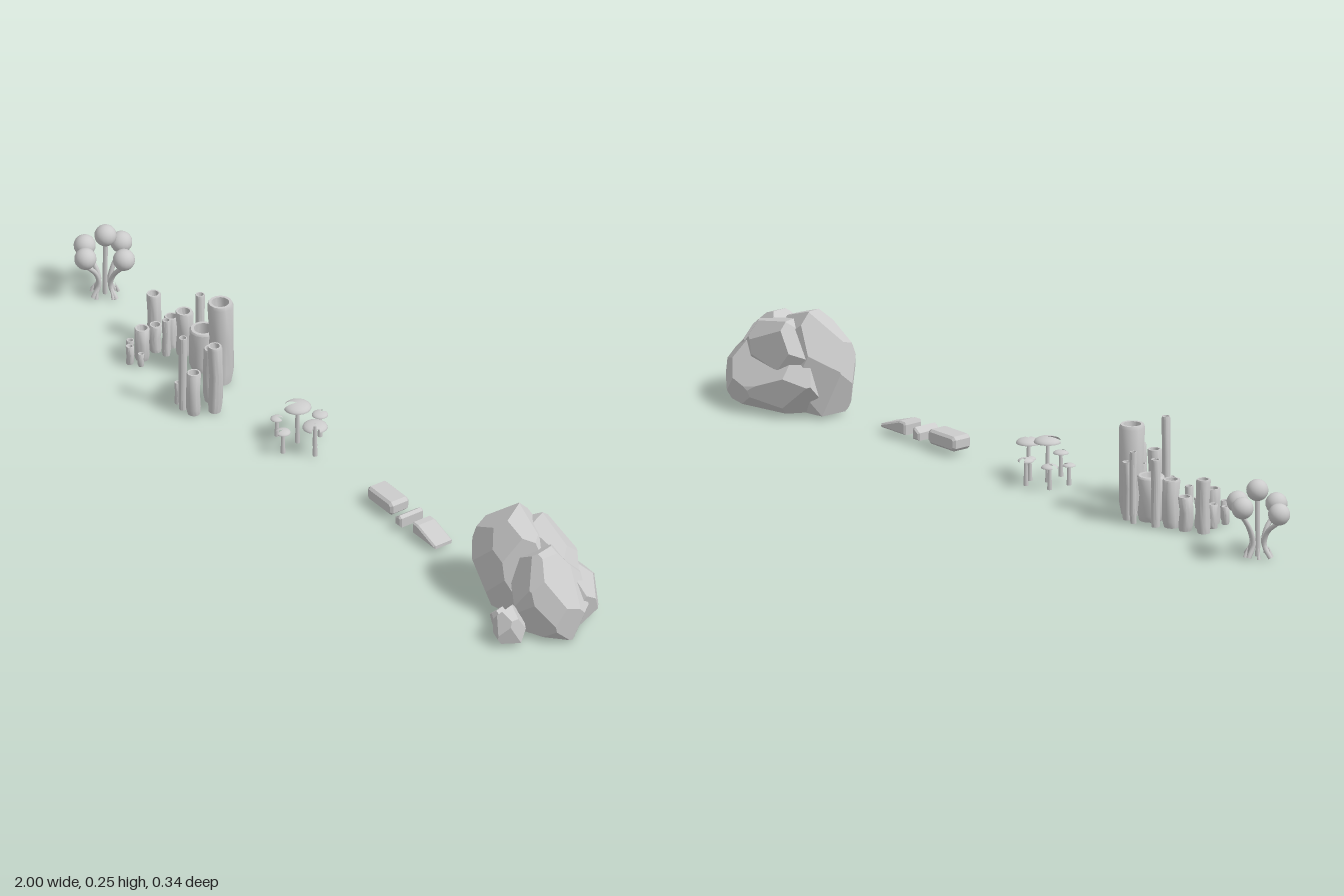
import * as THREE from 'three';
import { ConvexGeometry } from 'three/addons/geometries/ConvexGeometry.js';
import { toCreasedNormals } from 'three/addons/utils/BufferGeometryUtils.js';

const smooth = new THREE.MeshStandardMaterial({ color: 0xcccccc });
const thin = new THREE.MeshStandardMaterial({ color: 0xcccccc, side: THREE.DoubleSide });
const flat = new THREE.MeshStandardMaterial({ color: 0xcccccc, flatShading: true });
const V = (x, y, z) => new THREE.Vector3(x, y, z);

function add(parent, name, geometry, material = smooth) {
  const mesh = new THREE.Mesh(geometry, material);
  mesh.name = name;
  parent.add(mesh);
  return mesh;
}

function group(parent, name) {
  const g = new THREE.Group();
  g.name = name;
  parent.add(g);
  return g;
}

function seeded(seed) {
  return () => {
    seed = (seed * 16807) % 2147483647;
    return seed / 2147483647;
  };
}

// Boulder with polygonal facets: a sphere cut by scattered tangent planes,
// then fitted to the box min..max. Extra planes [x, y, z, distance] chop corners.
function boulder(min, max, facets, seed, extra = []) {
  const rnd = seeded(seed), poles = [];
  for (let i = 0; i < facets; i++) {
    const y = 1 - (2 * i + 1) / facets, a = i * 2.39996 + rnd() * 0.6;
    const r = Math.sqrt(1 - y * y);
    poles.push(V(r * Math.cos(a), y, r * Math.sin(a)).divideScalar(0.93 + rnd() * 0.12));
  }
  poles.push(V(0, -1 / 0.6, 0));
  for (const [x, y, z, d] of extra) poles.push(V(x, y, z).normalize().divideScalar(d));
  const hull = new ConvexGeometry(poles).attributes.position;
  const corners = [];
  for (let i = 0; i < hull.count; i += 3) {
    const [a, b, c] = [0, 1, 2].map(k => V().fromBufferAttribute(hull, i + k));
    const n = b.clone().sub(a).cross(c.clone().sub(a));
    const d = n.dot(a);
    if (Math.abs(d) > 1e-6) corners.push(n.divideScalar(d));
  }
  const box = new THREE.Box3().setFromPoints(corners), size = box.getSize(V());
  const lo = V(...min), span = V(...max).sub(lo);
  corners.forEach(p => p.sub(box.min).divide(size).multiply(span).add(lo));
  return new ConvexGeometry(corners);
}

// Hollow-topped tube that bows gently
function tubeCoral(x, z, r, h, i) {
  const profile = [[0, 0], [r * 0.85, 0], [r, h * 0.15], [r * 0.93, h * 0.55], [r, h * 0.96],
    [r * 0.9, h], [r * 0.68, h], [r * 0.6, h - r * 1.2], [0, h - r * 1.2]];
  const geo = new THREE.LatheGeometry(profile.map(p => new THREE.Vector2(...p)), 14);
  const pos = geo.attributes.position;
  for (let k = 0; k < pos.count; k++) {
    const bow = Math.sin(pos.getY(k) / h * Math.PI) * r * 0.2;
    pos.setX(k, pos.getX(k) + bow * Math.cos(i * 2.4));
    pos.setZ(k, pos.getZ(k) + bow * Math.sin(i * 2.4));
  }
  return toCreasedNormals(geo, 0.7).translate(x, 0, z);
}

// Prism from a front outline, centred on z
function prism(outline, z, depth, bevel) {
  const shape = new THREE.Shape(outline.map(p => new THREE.Vector2(...p)));
  return new THREE.ExtrudeGeometry(shape, {
    depth: depth - 2 * bevel, bevelThickness: bevel, bevelSize: bevel,
    bevelOffset: -bevel, bevelSegments: 1,
  }).translate(0, 0, z - depth / 2 + bevel);
}

export function createModel() {
  const model = new THREE.Group();
  model.name = 'reefSet';

  // Cluster of balls on curved stalks: x, y, z of each ball
  const balls = group(model, 'ballPlant');
  const cx = -0.915, cz = 0.012;
  [[-0.973, 0.115, 0.03], [-0.915, 0.13, -0.037], [-0.853, 0.125, 0], [-0.915, 0.167, 0.01],
    [-0.915, 0.122, 0.07]].forEach(([x, y, z], i) => {
    const ball = new THREE.SphereGeometry(0.027, 16, 12).translate(x, y, z);
    add(balls, 'ball', ball);
    const a = i * 1.2566;
    const curve = new THREE.CatmullRomCurve3([
      V(cx + (x - cx) * 0.6, 0, cz + (z - cz) * 0.6),
      V(cx + (x - cx) * 0.3, 0.03, cz + (z - cz) * 0.3),
      V(cx + (x - cx) * 0.45, 0.065, cz + (z - cz) * 0.45), V(x, y - 0.02, z)]);
    add(balls, 'stalk', new THREE.TubeGeometry(curve, 14, 0.006, 8));
    const root = new THREE.ConeGeometry(0.005, 0.028, 6).rotateZ(0.3).rotateY(-a);
    add(balls, 'sprout', root.translate(cx + 0.03 * Math.cos(a), 0.014, cz + 0.03 * Math.sin(a)));
  });

  // Tube coral ridge: x, z, radius, height
  const tubes = group(model, 'tubeCorals');
  [[-0.68, 0.037, 0.018, 0.135], [-0.635, 0.016, 0.018, 0.085], [-0.592, 0.01, 0.022, 0.12],
    [-0.567, -0.02, 0.012, 0.17], [-0.513, 0.01, 0.034, 0.112], [-0.51, -0.042, 0.009, 0.18],
    [-0.476, -0.032, 0.014, 0.145], [-0.443, 0.01, 0.032, 0.225], [-0.417, 0.06, 0.014, 0.11],
    [-0.385, 0.08, 0.018, 0.15], [-0.342, 0.1, 0.018, 0.187], [-0.363, 0.147, 0.018, 0.117],
    [-0.394, 0.157, 0.011, 0.205], [-0.422, 0.153, 0.008, 0.06], [-0.64, 0.06, 0.016, 0.075],
    [-0.663, 0.08, 0.013, 0.06], [-0.631, 0.107, 0.019, 0.088], [-0.658, 0.123, 0.01, 0.045],
    [-0.631, 0.144, 0.01, 0.05], [-0.606, 0.128, 0.008, 0.035], [-0.61, 0.05, 0.011, 0.1]]
    .forEach(([x, z, r, h], i) => add(tubes, 'tubeCoral', tubeCoral(x, z, r, h, i)));

  // Notched caps on thin stems: x, z, cap radius, height, notch direction
  const caps = group(model, 'mushrooms');
  [[-0.112, 0.02, 0.034, 0.115, 0.9], [-0.04, 0.02, 0.031, 0.095, 2.6], [-0.165, -0.018, 0.021, 0.064, 0],
    [-0.102, -0.04, 0.02, 0.07, 5], [-0.096, 0.075, 0.019, 0.066, 1.4],
    [-0.165, 0.043, 0.016, 0.055, 3.8], [-0.075, -0.005, 0.015, 0.06, 4.2]]
    .forEach(([x, z, r, h, turn]) => {
      const dome = new THREE.SphereGeometry(r, 16, 5, 0.35, Math.PI * 2 - 0.7, 0, Math.PI / 2);
      add(caps, 'cap', dome.scale(1, 0.42, 1).rotateY(turn).translate(x, h - r * 0.42, z), thin);
      const gills = new THREE.CircleGeometry(r, 16, 0.35, Math.PI * 2 - 0.7);
      gills.rotateX(-Math.PI / 2).rotateY(turn + Math.PI);
      add(caps, 'gills', gills.scale(1, 1, -1).rotateY(0).translate(x, h - r * 0.42, z), thin).visible = false;
      const stem = new THREE.CylinderGeometry(0.004, 0.006, h - r * 0.3, 8);
      add(caps, 'stem', stem.translate(x, (h - r * 0.3) / 2, z));
    });

  // Loose blocks: chamfered brick, small chip, sloping wedge
  const blocks = group(model, 'stoneBlocks');
  add(blocks, 'brick', prism([[0.205, 0.009], [0.29, 0.009], [0.299, 0.017], [0.299, 0.038],
    [0.29, 0.046], [0.205, 0.046], [0.197, 0.038], [0.197, 0.017]], 0.011, 0.055, 0.006), flat);
  add(blocks, 'chip', prism([[0.326, 0.009], [0.351, 0.009], [0.351, 0.034], [0.343, 0.04],
    [0.326, 0.028]], 0.014, 0.07, 0.004), flat);
  add(blocks, 'wedge', prism([[0.384, 0.009], [0.476, 0.009], [0.476, 0.018], [0.405, 0.041],
    [0.387, 0.041], [0.384, 0.034]], 0.011, 0.055, 0.004), flat);

  // Boulder pile
  const rocks = group(model, 'boulderPile');
  add(rocks, 'tallBoulder', boulder([0.61, 0.005, -0.095], [0.87, 0.247, 0.075], 26, 11), flat);
  add(rocks, 'sideBoulder', boulder([0.765, 0.005, -0.085], [0.995, 0.21, 0.085], 26, 29,
    [[1, 1, 0, 0.85]]), flat);
  add(rocks, 'backBoulder', boulder([0.64, 0.006, -0.168], [0.975, 0.165, 0.04], 24, 47,
    [[0, 1, -1, 0.8]]), flat);
  add(rocks, 'crownSlab', boulder([0.66, 0.08, -0.12], [0.93, 0.222, 0.02], 20, 71), flat);
  add(rocks, 'frontStone', boulder([0.848, 0.005, 0.075], [0.925, 0.09, 0.155], 14, 5), flat);
  add(rocks, 'frontPebble', boulder([0.8, 0.005, 0.075], [0.86, 0.05, 0.12], 12, 17), flat);
  return model;
}
